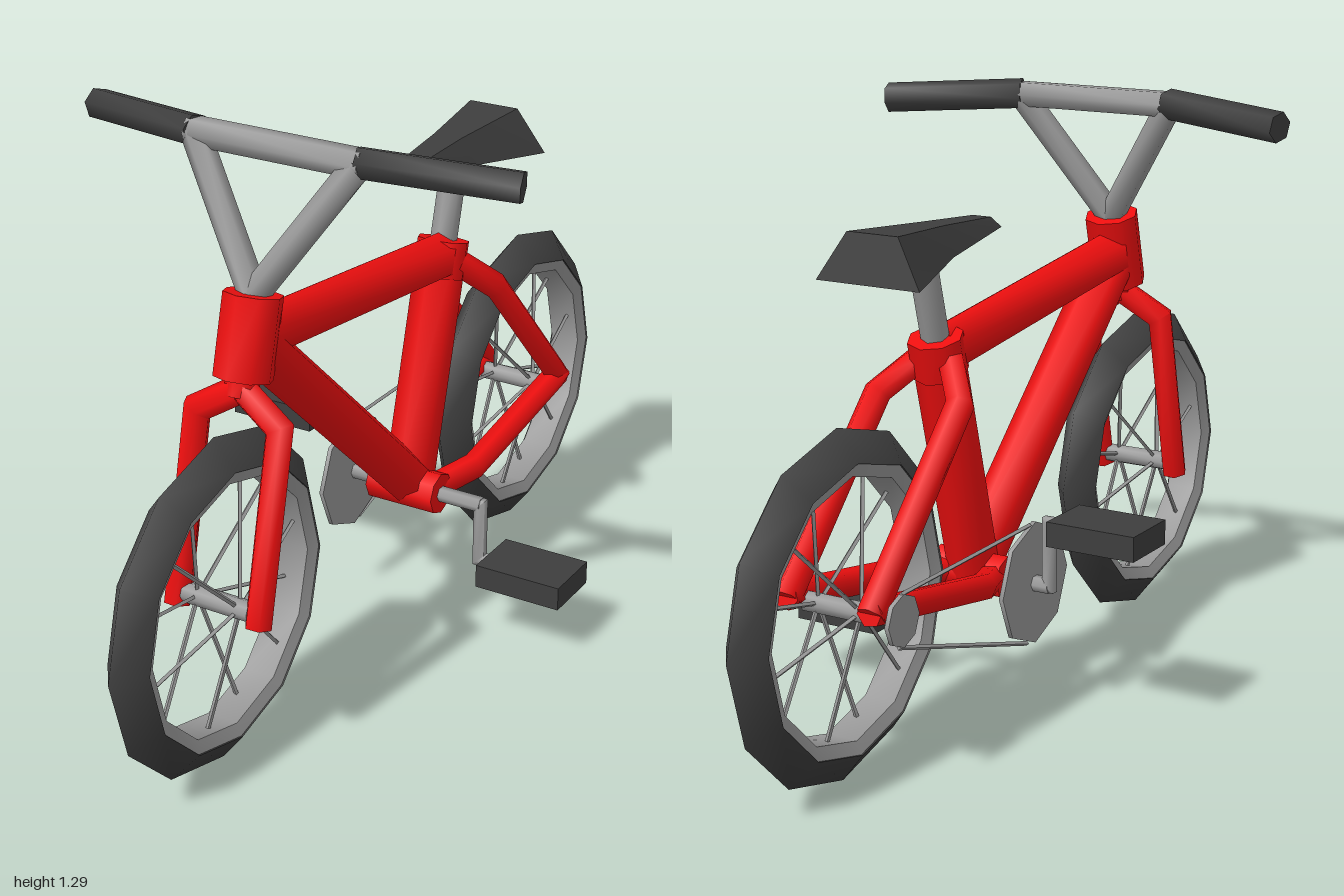
import * as THREE from 'three';
import { toCreasedNormals } from 'three/addons/utils/BufferGeometryUtils.js';

const mat = (color) => new THREE.MeshStandardMaterial({ color });
const red = mat(0xee0f0f), dark = mat(0x3e3e3e), grey = mat(0x999999);
const V = (p) => new THREE.Vector3(...p);

function add(parent, name, geometry, material, pos = [0, 0, 0]) {
  const mesh = new THREE.Mesh(geometry, material);
  mesh.name = name;
  mesh.position.set(...pos);
  parent.add(mesh);
  return mesh;
}

// Capped tube through straight segments, mitred at each bend
function tube(parent, name, material, r, path, sides = 6) {
  const pts = path.map(V), n = pts.length - 1;
  const dirs = pts.slice(1).map((p, i) => p.clone().sub(pts[i]).normalize());
  const turn = new THREE.Quaternion().setFromUnitVectors(new THREE.Vector3(0, 1, 0), dirs[0]);
  const geo = new THREE.CylinderGeometry(r, r, 1, sides, n);
  const pos = geo.attributes.position, q = new THREE.Vector3();
  for (let i = 0; i < pos.count; i++) {
    const row = Math.round((pos.getY(i) + 0.5) * n);
    q.set(pos.getX(i), 0, pos.getZ(i)).applyQuaternion(turn).add(pts[0]);
    for (let k = 1; k <= row; k++) {
      const d = dirs[k - 1];
      const plane = k < n ? d.clone().add(dirs[k]).normalize() : d;
      q.addScaledVector(d, pts[k].clone().sub(q).dot(plane) / d.dot(plane));
    }
    pos.setXYZ(i, q.x, q.y, q.z);
  }
  return add(parent, name, toCreasedNormals(geo, 1.2), material);
}

// The same tube on both sides
function pair(parent, name, material, r, path) {
  tube(parent, name + 'Left', material, r, path);
  tube(parent, name + 'Right', material, r, path.map(([x, y, z]) => [-x, y, z]));
}

// Ring around the x axis from a closed [radius, x] profile
function ring(profile, crease) {
  const geo = new THREE.LatheGeometry(profile.map((p) => new THREE.Vector2(...p)), 12);
  return toCreasedNormals(geo.rotateZ(-Math.PI / 2), crease);
}

function wheel(name, z) {
  const g = new THREE.Group();
  g.name = name;
  g.position.set(0, 0.372, z);
  add(g, 'tyre', ring([[0.303, -0.05], [0.368, 0], [0.303, 0.05], [0.303, -0.05]], 1.9), dark);
  add(g, 'rim', ring([[0.306, 0.047], [0.275, 0.036], [0.275, -0.036], [0.306, -0.047]], 0.6), grey);
  tube(g, 'hub', grey, 0.022, [[-0.08, 0, 0], [0.08, 0, 0]], 8);
  // Spokes leave alternate ends of the hub
  for (let i = 0; i < 12; i++) {
    const a = (i + 0.5) * Math.PI / 6, x = i % 2 ? 0.05 : -0.05;
    const at = (r, px) => [px, r * Math.sin(a), r * Math.cos(a)];
    tube(g, 'spoke', grey, 0.005, [at(0.01, x), at(0.28, x * 0.2)], 4);
  }
  return g;
}

// Saddle from trapezoid sections: [zBottom, yBottom, halfBottom, zTop, yTop, halfTop]
function saddleGeometry() {
  const sections = [
    [-0.07, 1.05, 0.036, -0.09, 1.073, 0.022],
    [-0.3, 1.026, 0.062, -0.29, 1.087, 0.034],
    [-0.52, 1.0, 0.122, -0.5, 1.1, 0.06],
  ];
  const verts = [], index = [];
  for (const [zb, yb, b, zt, yt, t] of sections) {
    verts.push(-b, yb, zb, b, yb, zb, t, yt, zt, -t, yt, zt);
  }
  for (let s = 0; s < 2; s++) {
    for (let k = 0; k < 4; k++) {
      const a = s * 4 + k, b = s * 4 + (k + 1) % 4;
      index.push(a, a + 4, b, b, a + 4, b + 4);
    }
  }
  index.push(0, 1, 2, 0, 2, 3, 8, 10, 9, 8, 11, 10);
  const geo = new THREE.BufferGeometry();
  geo.setAttribute('position', new THREE.Float32BufferAttribute(verts, 3));
  geo.setIndex(index);
  return toCreasedNormals(geo, 0.6);
}

export function createModel() {
  const model = new THREE.Group();
  model.name = 'bicycle';
  model.add(wheel('frontWheel', 0.632), wheel('rearWheel', -0.632));

  // Frame
  const frame = new THREE.Group();
  frame.name = 'frame';
  model.add(frame);
  tube(frame, 'headTube', red, 0.062, [[0, 0.825, 0.525], [0, 0.99, 0.482]], 8);
  tube(frame, 'topTube', red, 0.056, [[0, 0.9, 0.49], [0, 0.815, -0.26]]);
  tube(frame, 'downTube', red, 0.056, [[0, 0.9, 0.5], [0, 0.32, -0.12]]);
  tube(frame, 'seatTube', red, 0.056, [[0, 0.3, -0.125], [0, 0.84, -0.272]]);
  tube(frame, 'seatCollar', red, 0.06, [[0, 0.77, -0.253], [0, 0.85, -0.275]], 8);
  tube(frame, 'bottomBracket', red, 0.048, [[-0.085, 0.3, -0.125], [0.085, 0.3, -0.125]], 8);
  pair(frame, 'seatStay', red, 0.03, [[0.03, 0.81, -0.265], [0.1, 0.735, -0.34], [0.1, 0.385, -0.67]]);
  pair(frame, 'chainStay', red, 0.03, [[0.05, 0.3, -0.13], [0.1, 0.32, -0.25], [0.1, 0.392, -0.675]]);

  // Fork
  pair(model, 'forkLeg', red, 0.03,
    [[0, 0.805, 0.53], [0.098, 0.745, 0.546], [0.098, 0.345, 0.637]]);
  tube(model, 'forkCrown', red, 0.035, [[0, 0.79, 0.534], [0, 0.85, 0.518]]);

  // Handlebar
  pair(model, 'handlebarStem', grey, 0.03, [[0, 0.985, 0.482], [0.19, 1.265, 0.395]]);
  tube(model, 'handlebar', grey, 0.031, [[-0.2, 1.265, 0.395], [0.2, 1.265, 0.395]]);
  pair(model, 'grip', dark, 0.034, [[0.185, 1.266, 0.395], [0.495, 1.246, 0.307]]);

  // Saddle
  tube(model, 'seatPost', grey, 0.03, [[0, 0.83, -0.27], [0, 1.05, -0.33]]);
  add(model, 'saddle', saddleGeometry(), dark);

  // Cranks and pedals, on opposite sides and turned half a circle apart
  tube(model, 'crankAxle', grey, 0.018, [[-0.19, 0.3, -0.125], [0.19, 0.3, -0.125]]);
  for (const [side, s] of [['Left', 1], ['Right', -1]]) {
    const y = 0.3 - 0.138 * s;
    tube(model, 'crank' + side, grey, 0.016,
      [[0.15 * s, 0.3, -0.125], [0.187 * s, 0.3, -0.125], [0.187 * s, y, -0.125], [0.23 * s, y, -0.125]]);
    add(model, 'pedal' + side, new THREE.BoxGeometry(0.205, 0.054, 0.142), dark, [0.32 * s, y, -0.122]);
  }

  // Drivetrain on the right side
  const x = -0.147;
  tube(model, 'rearAxle', grey, 0.016, [[x, 0.372, -0.632], [0, 0.372, -0.632]]);
  tube(model, 'chainring', grey, 0.136, [[x - 0.005, 0.3, -0.122], [x + 0.005, 0.3, -0.122]], 8);
  tube(model, 'rearSprocket', grey, 0.055, [[x - 0.005, 0.372, -0.632], [x + 0.005, 0.372, -0.632]], 8);
  tube(model, 'chainUpper', grey, 0.005, [[x, 0.432, -0.14], [x, 0.426, -0.635]], 4);
  tube(model, 'chainLower', grey, 0.005, [[x, 0.17, -0.15], [x, 0.32, -0.645]], 4);
  return model;
}
